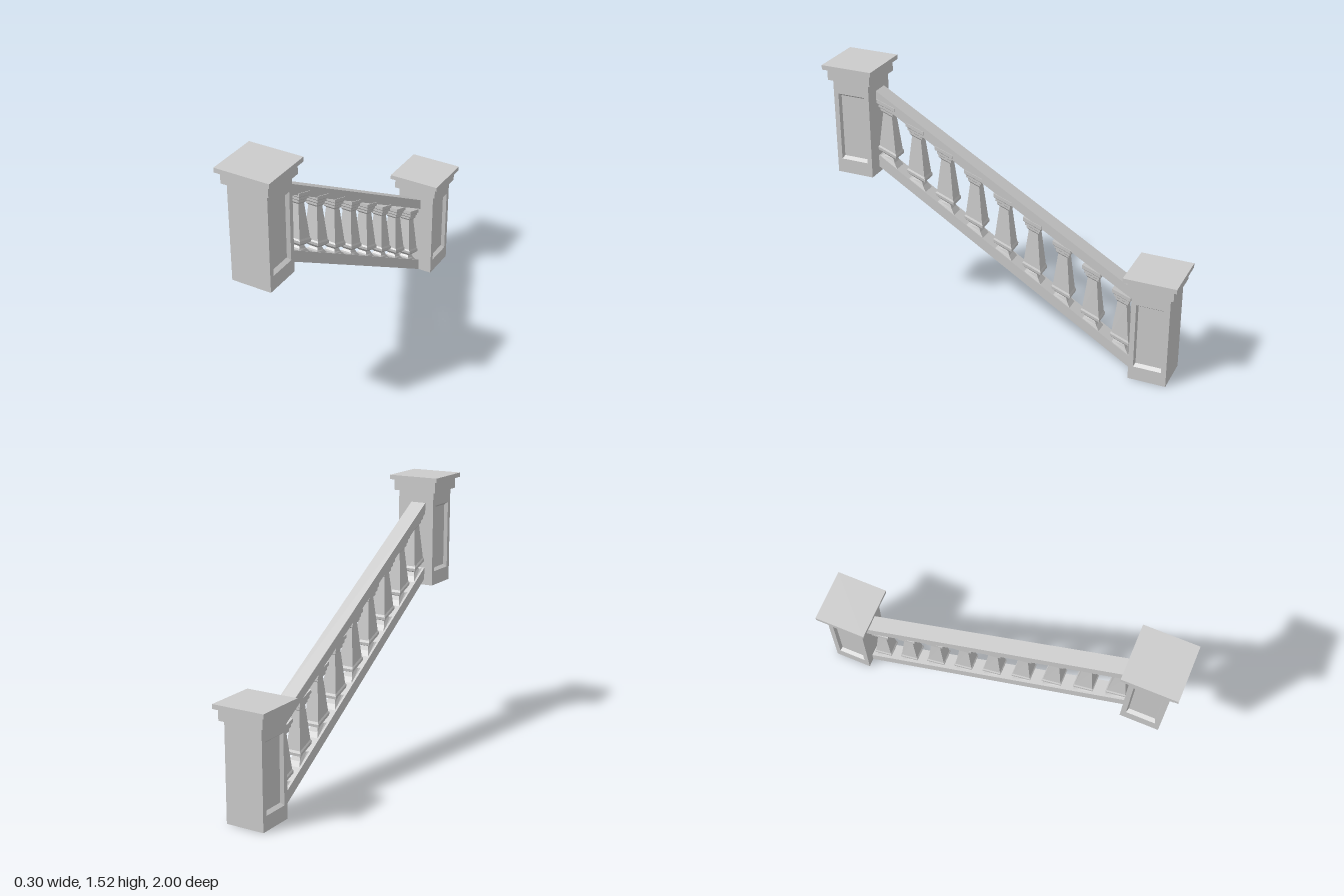
import * as THREE from 'three';

const material = new THREE.MeshStandardMaterial({ color: 0xcccccc, flatShading: true });

// Skins a list of four-cornered rings and closes both ends.
// Corners run counter-clockwise when looking back along the direction of travel.
function loft(name, rings) {
  const pos = [];
  const tri = (a, b, c) => pos.push(...a, ...b, ...c);
  const quad = (a, b, c, d) => { tri(a, b, c); tri(a, c, d); };
  for (let i = 0; i < rings.length - 1; i++) {
    for (let j = 0; j < 4; j++) {
      const k = (j + 1) % 4;
      quad(rings[i][j], rings[i][k], rings[i + 1][k], rings[i + 1][j]);
    }
  }
  const [a, b, c, d] = rings[0];
  quad(d, c, b, a);
  quad(...rings[rings.length - 1]);
  const geometry = new THREE.BufferGeometry();
  geometry.setAttribute('position', new THREE.Float32BufferAttribute(pos, 3));
  geometry.computeVertexNormals();
  const mesh = new THREE.Mesh(geometry, material);
  mesh.name = name;
  return mesh;
}

function box(name, w, h, d, bottom) {
  const mesh = new THREE.Mesh(new THREE.BoxGeometry(w, h, d), material);
  mesh.position.y = bottom + h / 2;
  mesh.name = name;
  return mesh;
}

// Square pier with a sunken, bevelled panel on both x sides and a stepped cap
function createPost(name) {
  const post = new THREE.Group();
  post.name = name;
  const ring = (x, y0, y1, z) => [[x, y0, -z], [x, y1, -z], [x, y1, z], [x, y0, z]];
  const side = [
    ring(0.11, 0, 0.54, 0.105),
    ring(0.11, 0.08, 0.46, 0.078),
    ring(0.09, 0.094, 0.446, 0.071),
  ];
  const mirrored = side.map(r => r.map(([x, y, z]) => [-x, y, z])).reverse();
  post.add(
    loft('panelledShaft', [...mirrored, ...side]),
    box('capMoulding', 0.26, 0.062, 0.25, 0.538),
    box('capSlab', 0.3, 0.025, 0.29, 0.6),
  );
  return post;
}

// Sloping rail between the posts, given its top height at each end
function createRail(name, highTop, lowTop, thickness) {
  const ring = (z, top) => [
    [-0.06, top - thickness, z], [0.03, top - thickness, z], [0.03, top, z], [-0.06, top, z],
  ];
  return loft(name, [ring(-0.75, lowTop), ring(0.75, highTop)]);
}

// Baluster levels: height, half depth (z), half width (x), slope of the level
const levels = [
  [-0.03, 0.062, 0.04, 0.62],
  [-0.005, 0.056, 0.04, 0.62],
  [0.012, 0.032, 0.028, 0.5],
  [0.028, 0.022, 0.021, 0.4],
  [0.05, 0.052, 0.045, 0.38],
  [0.066, 0.054, 0.046, 0.38],
  [0.076, 0.048, 0.041, 0.38],
  [0.275, 0.026, 0.025, 0.35],
  [0.285, 0.036, 0.033, 0.35],
  [0.298, 0.036, 0.033, 0.35],
  [0.304, 0.043, 0.04, 0.35],
  [0.318, 0.043, 0.04, 0.35],
  [0.324, 0.052, 0.046, 0.35],
  [0.344, 0.052, 0.046, 0.35],
];

function createBaluster() {
  return loft('baluster', levels.map(([y, d, w, slope]) => [
    [-w, y - d * slope, -d], [-w, y + d * slope, d],
    [w, y + d * slope, d], [w, y - d * slope, -d],
  ]));
}

export function createModel() {
  const model = new THREE.Group();
  model.name = 'stairBalustrade';

  const upperPost = createPost('upperPost');
  upperPost.position.set(0, 0.895, 0.855);
  const lowerPost = createPost('lowerPost');
  lowerPost.position.set(0, 0, -0.855);
  model.add(upperPost, lowerPost);

  model.add(createRail('handrail', 1.37, 0.487, 0.06));
  model.add(createRail('bottomRail', 0.995, 0.067, 0.067));

  // Nine balusters stepping down the slope
  for (let i = 0; i < 9; i++) {
    const baluster = createBaluster();
    const z = 0.695 - i * 0.1705;
    baluster.position.set(-0.012, 0.531 + 0.62 * z, z);
    model.add(baluster);
  }
  return model;
}
